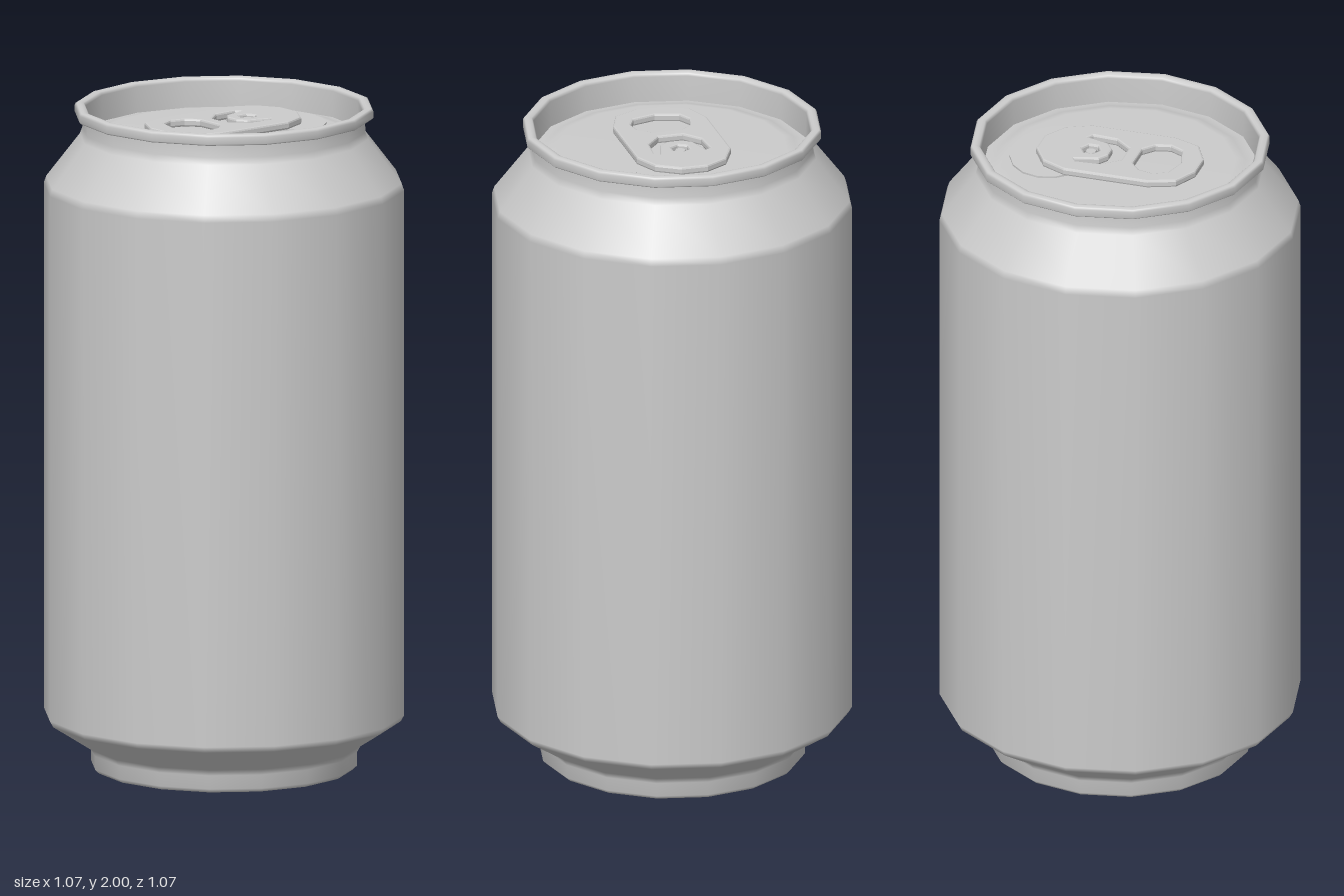
import * as THREE from 'three';

const SIDES = 16;
const material = new THREE.MeshStandardMaterial({ color: 0xcccccc });

function add(group, name, geometry) {
  const mesh = new THREE.Mesh(geometry, material);
  mesh.name = name;
  group.add(mesh);
  return mesh;
}

// Splits each inner corner of a profile into a tiny bevel, so edges stay crisp under smooth normals
function lathe(profile, bevel) {
  const pts = profile.map(([r, y]) => new THREE.Vector2(r, y));
  const out = [];
  pts.forEach((p, i) => {
    if (i === 0 || i === pts.length - 1) { out.push(p); return; }
    for (const q of [pts[i - 1], pts[i + 1]]) {
      const t = Math.min(bevel / p.distanceTo(q), 0.35);
      out.push(p.clone().lerp(q, t));
    }
  });
  return new THREE.LatheGeometry(out, SIDES);
}

// Closed outline made from one half, mirrored over the long axis
function mirrored(half) {
  const back = half.filter(([, y]) => y !== 0).reverse().map(([x, y]) => [x, -y]);
  return [...half, ...back].map(([x, y]) => new THREE.Vector2(x, y));
}

export function createModel() {
  const can = new THREE.Group();
  can.name = 'drinkCan';

  // Closed base, straight wall, shoulder and neck
  add(can, 'body', lathe([
    [0, 0], [0.397, 0], [0.397, 0.065], [0.537, 0.155],
    [0.537, 1.765], [0.422, 1.915], [0.42, 1.968],
  ], 0.012));

  // Rolled rim, running down inside to the lid
  add(can, 'rim', lathe([
    [0.418, 1.965], [0.445, 1.967], [0.445, 1.995], [0.436, 2],
    [0.422, 2], [0.413, 1.992], [0.411, 1.908],
  ], 0.004));

  // Lid with a shallow gutter around a raised panel
  add(can, 'lid', lathe([
    [0.412, 1.91], [0.385, 1.912], [0.355, 1.924], [0, 1.926],
  ], 0.012));

  // Scored mouth panel
  const mouth = add(can, 'mouthPanel', new THREE.CylinderGeometry(1, 1, 0.006, SIDES));
  mouth.scale.set(0.13, 1, 0.167);
  mouth.position.set(0.203, 1.927, 0);

  // Pull tab with finger hole, curved slot and rivet hole
  const tab = new THREE.Shape(mirrored([
    [0.248, 0.04], [0.205, 0.11], [0.13, 0.145],
    [-0.13, 0.145], [-0.21, 0.115], [-0.248, 0.04],
  ]));
  const fingerHole = mirrored([
    [-0.055, 0.045], [-0.085, 0.08], [-0.13, 0.09], [-0.17, 0.07], [-0.19, 0],
  ]);
  const slot = mirrored([
    [0.05, 0.05], [0.12, 0.07], [0.11, 0.085], [0.035, 0.08], [-0.015, 0.038],
  ]);
  // The slot closes around the tongue on its inner side
  slot.push(new THREE.Vector2(0.03, -0.02), new THREE.Vector2(0.03, 0.02));
  const rivetHole = [];
  for (let i = 0; i < 6; i++) {
    const a = (i / 6) * Math.PI * 2;
    rivetHole.push(new THREE.Vector2(0.09 + 0.028 * Math.cos(a), 0.028 * Math.sin(a)));
  }
  tab.holes = [fingerHole, slot, rivetHole].map((pts) => new THREE.Path(pts));
  const tabGeometry = new THREE.ExtrudeGeometry(tab, {
    depth: 0.012, bevelEnabled: true, bevelThickness: 0.006,
    bevelSize: 0.006, bevelOffset: -0.006, bevelSegments: 2,
  });
  tabGeometry.rotateX(-Math.PI / 2);
  add(can, 'pullTab', tabGeometry).position.y = 1.938;

  // Rivet joining tab and lid
  add(can, 'rivet', new THREE.CylinderGeometry(0.016, 0.024, 0.024, 6)).position.set(0.09, 1.937, 0);

  return can;
}
